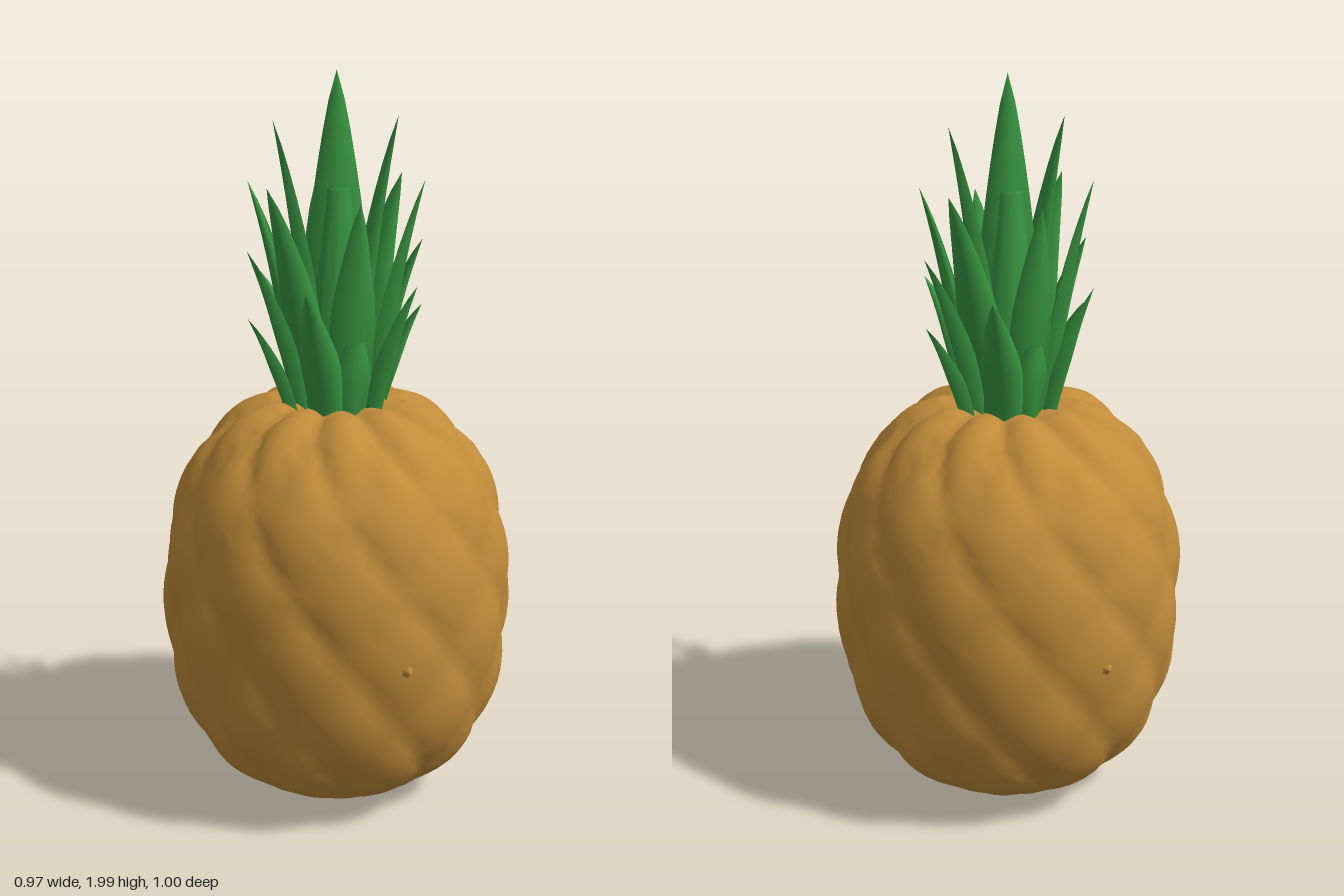
import * as THREE from 'three';
import { mergeVertices } from 'three/addons/utils/BufferGeometryUtils.js';

const skin = new THREE.MeshStandardMaterial({ color: 0xc08b3a });
skin.name = 'golden skin';
const green = new THREE.MeshStandardMaterial({ color: 0x389440 });
green.name = 'leaf green';

// Lathe body whose surface swells into a diamond lattice of scales
function makeBody() {
  const profile = new THREE.SplineCurve([
    [0.17, 0], [0.25, 0.03], [0.34, 0.1], [0.415, 0.21], [0.46, 0.36], [0.475, 0.52], [0.472, 0.66],
    [0.45, 0.8], [0.405, 0.92], [0.33, 1.02], [0.25, 1.085], [0.17, 1.115],
  ].map(([r, y]) => new THREE.Vector2(r, y))).getPoints(44);
  const points = [new THREE.Vector2(0, 0), ...profile, new THREE.Vector2(0, 1.11)];
  let geo = new THREE.LatheGeometry(points, 80);
  geo.deleteAttribute('uv');
  geo.deleteAttribute('normal');
  geo = mergeVertices(geo, 1e-5);
  const pos = geo.attributes.position;
  for (let i = 0; i < pos.count; i++) {
    const x = pos.getX(i), y = pos.getY(i), z = pos.getZ(i), r = Math.hypot(x, z);
    if (r < 0.01) continue;
    const a = (Math.atan2(x, z) / (2 * Math.PI)) * 10, v = (y - 0.52) / 0.39;
    const lump = Math.sqrt(Math.abs(Math.cos(Math.PI * (a + v)) * Math.cos(Math.PI * (a - v))));
    const fade = Math.min(1, y / 0.12);
    const k = 1 + ((lump - 0.45) * 0.026 * fade) / r;
    pos.setXYZ(i, x * k, y + (y > 0.95 ? (lump - 0.5) * 0.02 : 0), z * k);
  }
  geo.computeVertexNormals();
  return new THREE.Mesh(geo, skin);
}

// Curved, ridged leaf lofted from four-cornered sections; it ends in a point
function makeLeaf(base, tip, width, face) {
  const b = new THREE.Vector3(...base), t = new THREE.Vector3(...tip);
  const mid = new THREE.Vector3(b.x * 0.65 + t.x * 0.35, b.y * 0.4 + t.y * 0.6, b.z * 0.65 + t.z * 0.35);
  const curve = new THREE.QuadraticBezierCurve3(b, mid, t);
  const out = new THREE.Vector3(face[0], 0, face[1]).normalize();
  const side = new THREE.Vector3(0, 1, 0).cross(out);
  const steps = 10, verts = [], index = [];
  for (let i = 0; i <= steps; i++) {
    const s = i / steps, c = curve.getPoint(s);
    const w = s < 0.45 ? 0.75 + 0.25 * Math.sin((s / 0.45) * Math.PI / 2)
      : Math.pow(Math.max(0, 1 - (s - 0.45) / 0.55), 0.8);
    const h = (width / 2) * w;
    [[h, -0.2 * h], [0, 0.35 * h], [-h, -0.2 * h], [0, -0.3 * h]].forEach(([u, o]) => {
      const p = c.clone().addScaledVector(side, u).addScaledVector(out, o);
      verts.push(p.x, p.y, p.z);
    });
    if (i < steps) for (let j = 0; j < 4; j++) {
      const p = i * 4 + j, q = i * 4 + ((j + 1) % 4);
      index.push(p, p + 4, q, q, p + 4, q + 4);
    }
  }
  const geo = new THREE.BufferGeometry();
  geo.setAttribute('position', new THREE.Float32BufferAttribute(verts, 3));
  geo.setIndex(index);
  geo.computeVertexNormals();
  return new THREE.Mesh(geo, green);
}

export function createModel() {
  const model = new THREE.Group();
  model.name = 'pineapple';
  const body = makeBody();
  body.name = 'body';
  model.add(body);

  // Small nubs on the front and back scales
  for (const s of [1, -1]) {
    const nub = new THREE.Mesh(new THREE.ConeGeometry(0.04, 0.03, 6), skin);
    nub.rotation.x = s * Math.PI / 2;
    nub.position.set(0, 0.52, s * 0.485);
    nub.name = 'scaleNub';
    model.add(nub);
  }

  const crown = new THREE.Group();
  crown.name = 'crown';
  // Core that the leaves wrap around
  const core = new THREE.Mesh(new THREE.CylinderGeometry(0.035, 0.11, 0.62, 12), green);
  core.position.y = 1.38;
  core.name = 'crownCore';
  crown.add(core);

  // Each leaf: base, tip, width, outward direction (x, z), mirrored in x and z
  const leaves = [
    [[0, 1.08, 0.02], [0, 1.99, 0], 0.17, [0, 1]],
    [[0, 1.08, 0.105], [0, 1.67, 0.165], 0.13, [0, 1]],
    [[0, 1.08, 0.12], [0, 1.36, 0.14], 0.1, [0, 1]],
    [[0.05, 1.1, 0], [0.175, 1.87, 0], 0.11, [1, 0]],
    [[0.08, 1.08, 0.05], [0.22, 1.71, 0.075], 0.12, [0.8, 0.6]],
    [[0.1, 1.08, 0], [0.25, 1.54, 0], 0.12, [1, 0]],
    [[0.13, 1.08, 0], [0.25, 1.36, 0], 0.1, [1, 0]],
    [[0.07, 1.08, 0.1], [0.155, 1.45, 0.175], 0.11, [0.6, 0.8]],
  ];
  for (const [b, t, w, f] of leaves) {
    for (const sx of b[0] ? [1, -1] : [1]) {
      for (const sz of f[1] ? [1, -1] : [1]) {
        const flip = (p) => [p[0] * sx, p[1], p[2] * sz];
        const leaf = makeLeaf(flip(b), flip(t), w, [f[0] * sx, f[1] * sz]);
        leaf.name = 'leaf';
        crown.add(leaf);
      }
    }
  }
  model.add(crown);
  return model;
}
